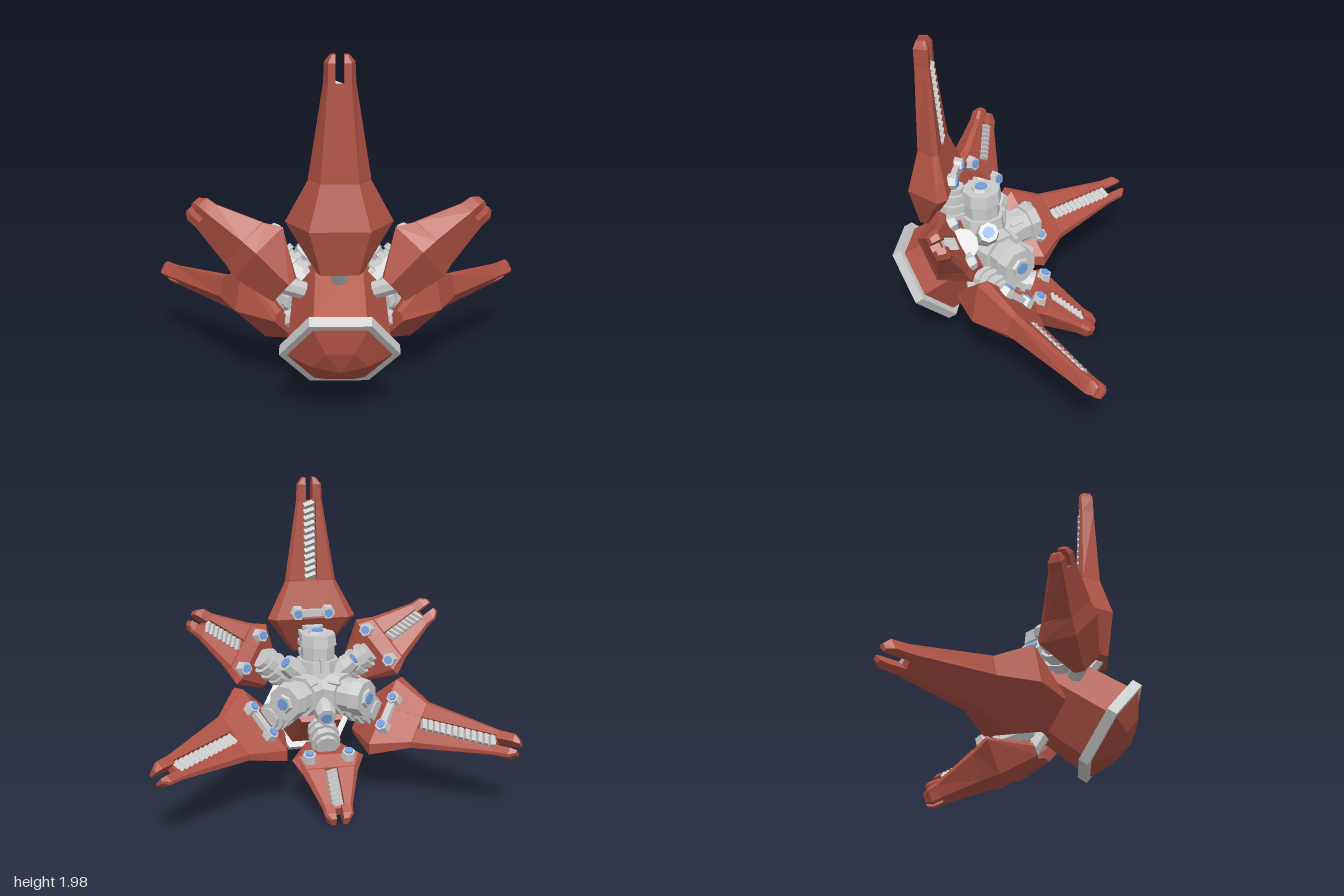
import * as THREE from 'three';

const mat = (color) => new THREE.MeshStandardMaterial({ color, flatShading: true });
const red = mat(0xb05244), grey = mat(0xcccccc), blue = mat(0x6f9fe0);

function add(parent, name, geometry, material, x = 0, y = 0, z = 0) {
  const mesh = new THREE.Mesh(geometry, material);
  mesh.name = name;
  mesh.position.set(x, y, z);
  parent.add(mesh);
  return mesh;
}

// Joins rings of [y, z] points, each placed at its own x, and closes both ends.
function loft(rings) {
  const pos = [], idx = [], n = rings[0].pts.length;
  rings.forEach(({ x, pts }) => pts.forEach(([y, z]) => pos.push(x, y, z)));
  for (let r = 0; r < rings.length - 1; r++) {
    for (let i = 0; i < n; i++) {
      const a = r * n + i, b = r * n + (i + 1) % n;
      idx.push(a, b, b + n, a, b + n, a + n);
    }
  }
  const cap = (ring) => THREE.ShapeUtils.triangulateShape(ring.pts.map((p) => new THREE.Vector2(...p)), []);
  const last = (rings.length - 1) * n;
  cap(rings[0]).forEach(([a, b, c]) => idx.push(a, c, b));
  cap(rings[rings.length - 1]).forEach(([a, b, c]) => idx.push(last + a, last + b, last + c));
  const geometry = new THREE.BufferGeometry();
  geometry.setAttribute('position', new THREE.Float32BufferAttribute(pos, 3));
  geometry.setIndex(idx);
  geometry.computeVertexNormals();
  return geometry;
}

// Cylinder lying along x, from x0 to x1.
function rod(parent, name, x0, x1, r0, r1, y, sides = 8, material = grey) {
  const geometry = new THREE.CylinderGeometry(r1, r0, x1 - x0, sides);
  geometry.rotateY(Math.PI / sides).rotateZ(-Math.PI / 2);
  return add(parent, name, geometry, material, (x0 + x1) / 2, y, 0);
}

// Stations: [x, inner depth, inner half width, side depth, side half width, outer depth, outer half width, groove depth]
const LONG = {
  body: [
    [-0.15, 0.76, 0.10, 0.79, 0.12, 0.83, 0.10, 0.002],
    [0.10, 0.62, 0.24, 0.67, 0.29, 0.87, 0.16, 0.002],
    [0.34, 0.68, 0.14, 0.71, 0.165, 0.81, 0.10, 0.002],
    [0.35, 0.68, 0.14, 0.71, 0.165, 0.81, 0.10, 0.035],
    [0.85, 0.715, 0.07, 0.73, 0.085, 0.80, 0.06, 0.035],
  ],
  prong: [
    [0.85, 0.715, 0.07, 0.73, 0.085, 0.80, 0.06],
    [0.96, 0.715, 0.068, 0.73, 0.08, 0.80, 0.06],
    [1.0, 0.73, 0.04, 0.745, 0.048, 0.785, 0.04],
  ],
  teeth: 12, lensX: 0.14, lensZ: 0.1, bar: true,
};
const SHORT = {
  body: [
    [-0.14, 0.75, 0.09, 0.78, 0.11, 0.83, 0.09, 0.002],
    [0.10, 0.66, 0.19, 0.69, 0.23, 0.87, 0.13, 0.002],
    [0.19, 0.69, 0.155, 0.72, 0.18, 0.86, 0.11, 0.002],
    [0.20, 0.69, 0.15, 0.72, 0.175, 0.86, 0.11, 0.035],
    [0.44, 0.77, 0.08, 0.79, 0.095, 0.86, 0.07, 0.035],
  ],
  prong: [
    [0.44, 0.77, 0.08, 0.79, 0.095, 0.86, 0.07],
    [0.50, 0.785, 0.078, 0.80, 0.09, 0.865, 0.07],
    [0.535, 0.80, 0.05, 0.81, 0.06, 0.85, 0.05],
  ],
  teeth: 8, lensX: 0.12, lensZ: 0.125, bar: false,
};

function addArm(parent, spec) {
  const arm = new THREE.Group();
  arm.name = 'arm';
  parent.add(arm);

  // Faceted shell with a groove along its inner face
  const g = 0.042;
  add(arm, 'armShell', loft(spec.body.map(([x, i, wi, s, ws, o, wo, d]) => ({
    x,
    pts: [[-i, -g], [-i - d, -g], [-i - d, g], [-i, g], [-i, wi],
      [-s, ws], [-o, wo], [-o, -wo], [-s, -ws], [-i, -wi]],
  }))), red);

  // Split tip
  for (const side of [1, -1]) {
    add(arm, 'tipProng', loft(spec.prong.map(([x, i, wi, s, ws, o, wo]) => {
      const pts = [[-i, 0.022], [-i, wi], [-s, ws], [-o, wo], [-o, 0.022]];
      return { x, pts: side > 0 ? pts : pts.map(([y, z]) => [y, -z]).reverse() };
    })), red);
  }

  // Skewed ridges in the groove
  const from = spec.body[3], to = spec.body[4];
  const slope = Math.atan2(from[1] - to[1], to[0] - from[0]);
  const step = (to[0] - from[0]) / spec.teeth;
  for (let k = 0; k < spec.teeth; k++) {
    const f = (k + 0.5) / spec.teeth;
    const tooth = add(arm, 'grooveTooth', new THREE.BoxGeometry(step * 0.8, step * 0.8, 0.07), grey,
      from[0] + f * (to[0] - from[0]), -(from[1] + f * (to[1] - from[1])) - 0.012, 0);
    tooth.rotation.set(0, 0.35, slope + Math.PI / 4, 'YXZ');
  }

  // Pair of lenses on the inner face
  const y = -spec.body[1][1] + 0.005;
  for (const side of [1, -1]) {
    const z = side * spec.lensZ;
    add(arm, 'lensHousing', new THREE.CylinderGeometry(0.042, 0.055, 0.07, 6), grey, spec.lensX, y - 0.01, z);
    add(arm, 'lens', new THREE.CylinderGeometry(0.027, 0.027, 0.012, 8), blue, spec.lensX, y + 0.028, z);
  }
  if (spec.bar) add(arm, 'lensBar', new THREE.BoxGeometry(0.045, 0.05, 0.15), grey, spec.lensX, y - 0.012, 0);

  // Ribbed joint and the strut back to the hub
  [0.07, 0.095, 0.08, 0.1, 0.08, 0.095, 0.07].forEach((r, k) => {
    rod(arm, 'jointRing', -0.17 + k * 0.032, -0.138 + k * 0.032, r, r, -0.64, 10);
  });
  const strut = rod(arm, 'jointStrut', -0.17, 0.17, 0.05, 0.05, -0.69);
  strut.position.x = -0.22;
  strut.rotation.z = -0.66;
}

// Stepped cylinder from the hub centre towards an arm, ending in a lens
function addHubBarrel(parent, isLong) {
  const y = -0.465;
  if (isLong) {
    rod(parent, 'barrelBase', -0.33, -0.12, 0.16, 0.135, y);
    rod(parent, 'barrelNeck', -0.12, 0.0, 0.11, 0.11, y);
    rod(parent, 'barrelCollar', -0.03, 0.045, 0.125, 0.115, y);
    rod(parent, 'barrelLensRing', 0.045, 0.06, 0.065, 0.055, y, 6);
    rod(parent, 'barrelLens', 0.06, 0.068, 0.038, 0.038, y, 8, blue);
    add(parent, 'barrelSlot', new THREE.BoxGeometry(0.09, 0.02, 0.02), grey, -0.14, y + 0.133, 0);
  } else {
    rod(parent, 'smallBarrel', -0.33, -0.08, 0.085, 0.065, y);
    rod(parent, 'smallBarrelCollar', -0.08, -0.02, 0.07, 0.06, y);
    rod(parent, 'smallBarrelLens', -0.02, -0.01, 0.035, 0.035, y, 8, blue);
  }
}

export function createModel() {
  const model = new THREE.Group();
  model.name = 'sixArmedClaw';

  // Tilted frame: local y runs along the axis of the hub
  const tilted = new THREE.Group();
  tilted.name = 'tiltedBody';
  tilted.quaternion.setFromRotationMatrix(new THREE.Matrix4().makeBasis(
    new THREE.Vector3(1, 2, 1).normalize(),
    new THREE.Vector3(-1, 1, -1).normalize(),
    new THREE.Vector3(-1, 0, 1).normalize()));
  tilted.position.y = 1;
  model.add(tilted);

  // Hexagonal hub, rim and faceted cap
  add(tilted, 'hub', new THREE.CylinderGeometry(0.255, 0.28, 0.4, 6), red, 0, -0.77, 0);
  add(tilted, 'capRim', new THREE.CylinderGeometry(0.325, 0.325, 0.06, 6), grey, 0, -1.0, 0);
  const profile = [[0, -1.14], [0.15, -1.105], [0.285, -1.029]].map((p) => new THREE.Vector2(...p));
  add(tilted, 'capDome', new THREE.LatheGeometry(profile, 6), red);

  // Alternating long and short arms, all raised by the same angle
  for (let k = 0; k < 6; k++) {
    const turn = new THREE.Group(), raise = new THREE.Group();
    const isLong = k % 2 === 0;
    turn.name = isLong ? 'longArm' : 'shortArm';
    raise.name = 'armRaise';
    turn.rotation.y = k * Math.PI / 3;
    raise.rotation.z = Math.atan(Math.SQRT1_2);
    turn.add(raise);
    tilted.add(turn);
    addArm(raise, isLong ? LONG : SHORT);
    addHubBarrel(raise, isLong);
  }
  return model;
}
